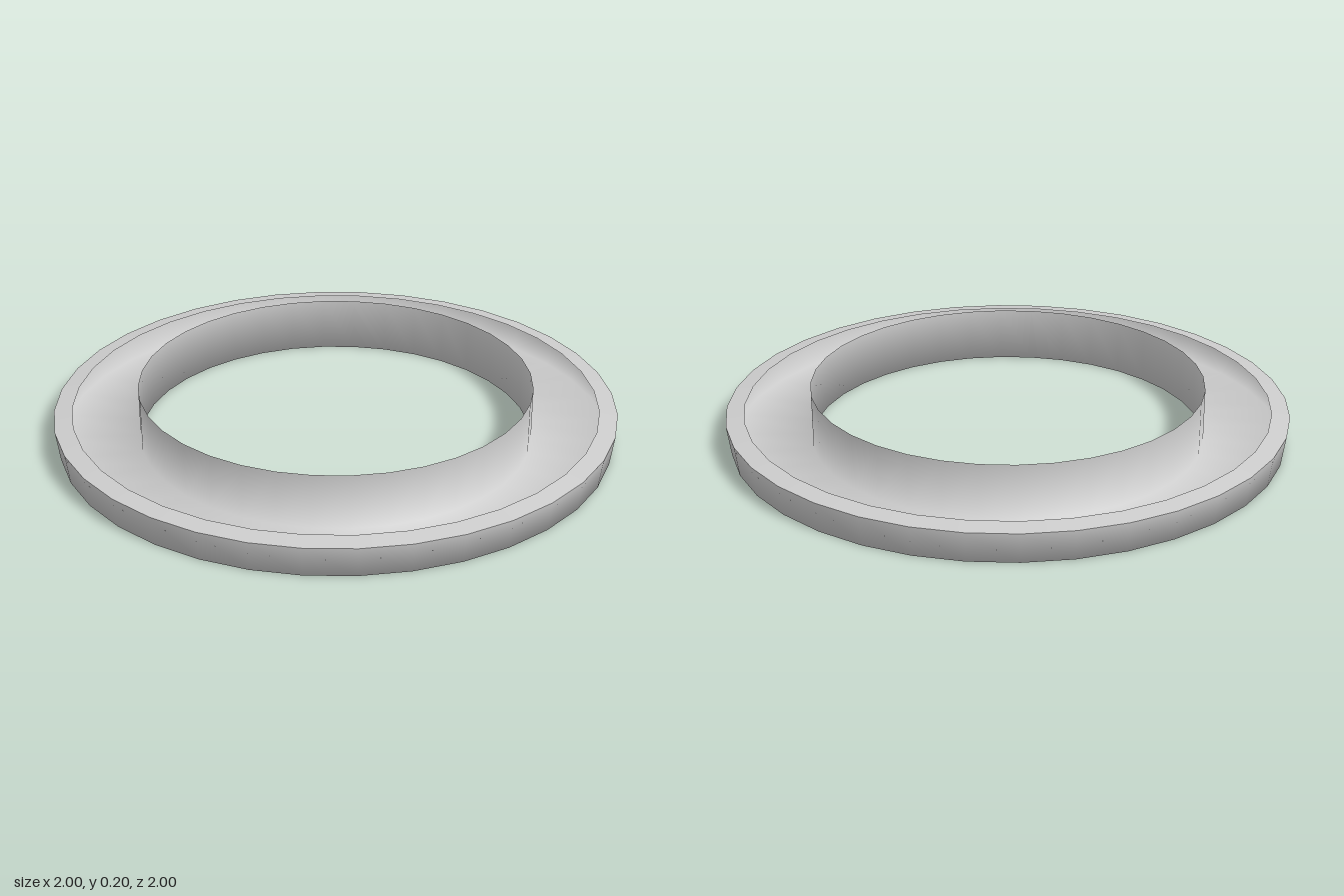
import * as THREE from 'three';

const SIDES = 36;
const material = new THREE.MeshStandardMaterial({ color: 0xcccccc, side: THREE.DoubleSide });

// Turns an open [radius, height] profile around the y axis as a thin smooth sheet
function turned(name, profile) {
  const points = profile.map(([r, y]) => new THREE.Vector2(r, y));
  const mesh = new THREE.Mesh(new THREE.LatheGeometry(points, SIDES), material);
  mesh.name = name;
  return mesh;
}

export function createModel() {
  const model = new THREE.Group();
  model.name = 'channelRing';

  // Open channel: collar wall, floor and slightly flared outer wall in one sheet
  model.add(turned('channel', [
    [0.7, 0.197], [0.7, 0], [0.985, 0], [1, 0.108],
  ]));

  // Narrow sloping lip turned inward from the top of the outer wall
  model.add(turned('lip', [[1, 0.108], [0.935, 0.118]]));

  return model;
}
